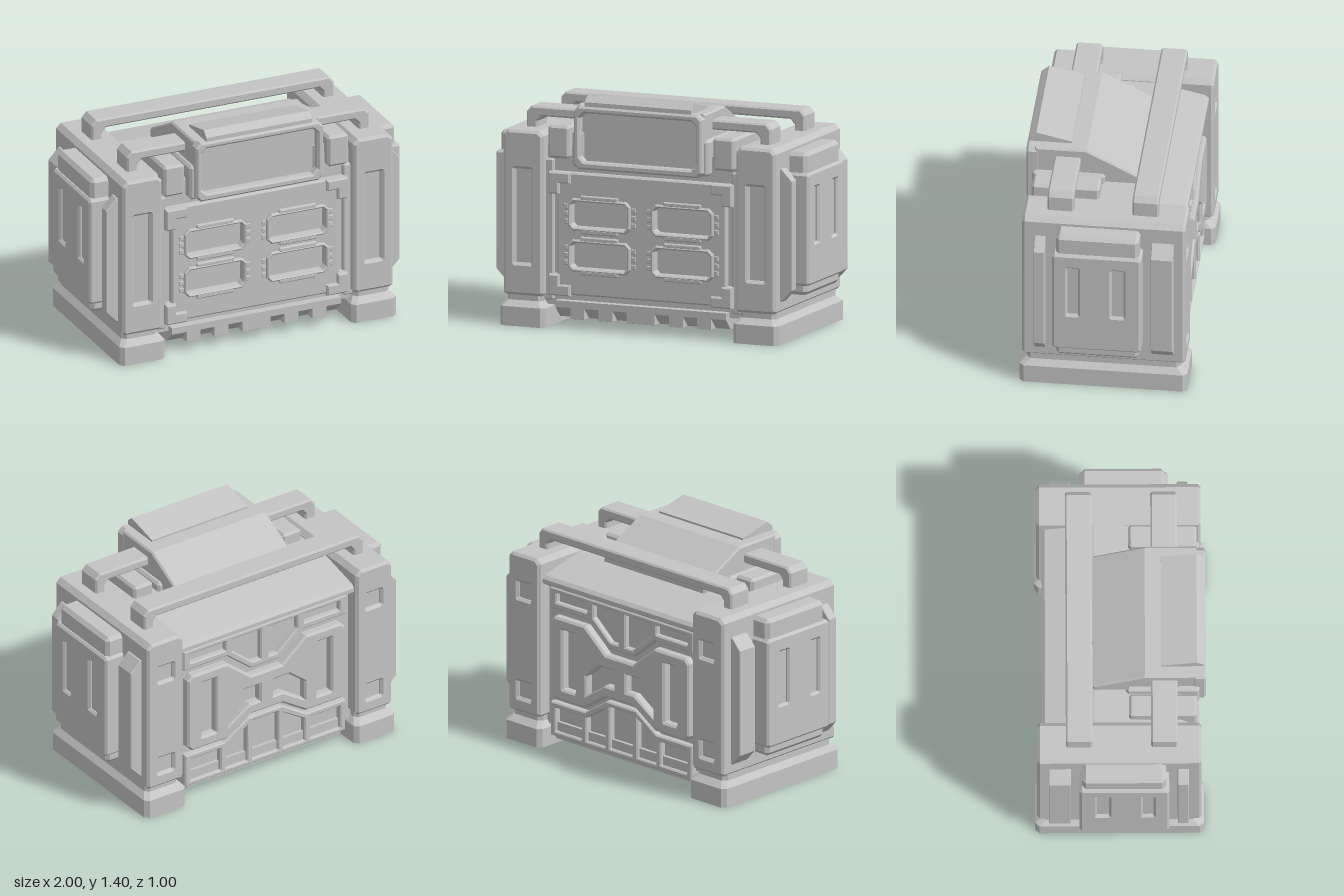
import * as THREE from 'three';
import { ConvexGeometry } from 'three/addons/geometries/ConvexGeometry.js';

export function createModel() {
  const model = new THREE.Group();
  model.name = 'equipmentCrate';
  const metal = new THREE.MeshStandardMaterial({ color: 0xc4c4c4, side: THREE.DoubleSide });
  metal.name = 'plain grey';

  // ---- helpers ----
  function mirrored(geo) {
    const g = geo.index ? geo.toNonIndexed() : geo.clone();
    g.scale(-1, 1, 1);
    const p = g.attributes.position, a = new THREE.Vector3(), b = new THREE.Vector3();
    for (let i = 0; i < p.count; i += 3) {
      a.fromBufferAttribute(p, i + 1);
      b.fromBufferAttribute(p, i + 2);
      p.setXYZ(i + 1, b.x, b.y, b.z);
      p.setXYZ(i + 2, a.x, a.y, a.z);
    }
    g.computeVertexNormals();
    return g;
  }
  function add(name, geo) {
    const mesh = new THREE.Mesh(geo, metal);
    mesh.name = name;
    model.add(mesh);
  }
  function addPair(name, geo) {
    add(name + 'Left', geo);
    add(name + 'Right', mirrored(geo));
  }
  // box with all edges chamfered by c
  function block(x0, x1, y0, y1, z0, z1, c = 0.015) {
    const h = [(x1 - x0) / 2, (y1 - y0) / 2, (z1 - z0) / 2], pts = [];
    for (const sx of [-1, 1]) for (const sy of [-1, 1]) for (const sz of [-1, 1])
      for (let full = 0; full < 3; full++) {
        const [x, y, z] = h.map((v, i) => (i === full ? v : v - c));
        pts.push(new THREE.Vector3(sx * x, sy * y, sz * z));
      }
    return new ConvexGeometry(pts).translate((x0 + x1) / 2, (y0 + y1) / 2, (z0 + z1) / 2);
  }
  // rectangle outline with cut corners
  const rect = (x0, x1, y0, y1, c = 0.01) => [
    [x0 + c, y0], [x1 - c, y0], [x1, y0 + c], [x1, y1 - c],
    [x1 - c, y1], [x0 + c, y1], [x0, y1 - c], [x0, y0 + c]];
  const flipX = pts => pts.map(([x, y]) => [-x, y]).reverse();
  const toVec = pts => pts.map(([x, y]) => new THREE.Vector2(x, y));
  // plate from depth z0 to z1, with chamfered rim and holes
  function panel(outline, holes, z0, z1, bevel = 0.01) {
    const shape = new THREE.Shape(toVec(outline));
    for (const h of holes) shape.holes.push(new THREE.Path(toVec(h)));
    return new THREE.ExtrudeGeometry(shape, {
      depth: z1 - z0 - 2 * bevel, bevelEnabled: bevel > 0, bevelSegments: 1,
      bevelSize: bevel, bevelThickness: bevel, bevelOffset: -bevel,
    }).translate(0, 0, z0 + bevel);
  }
  // side profile given as [z, y], swept along x
  const profile = (pts, x0, x1, bevel = 0) =>
    panel(pts.map(([z, y]) => [-z, y]), [], x0, x1, bevel).rotateY(Math.PI / 2);
  const backPanel = (outline, holes, d0, d1, bevel) =>
    panel(outline, holes, d0, d1, bevel).rotateY(Math.PI);
  // shell through cut-cornered rings [y, x0, x1, z0, z1], open at both ends
  function shell(rings, c) {
    const pos = [], idx = [];
    for (const [y, x0, x1, z0, z1] of rings)
      for (const [x, z] of rect(x0, x1, z0, z1, c)) pos.push(x, y, z);
    for (let r = 0; r < rings.length - 1; r++) for (let i = 0; i < 8; i++) {
      const a = r * 8 + i, b = r * 8 + (i + 1) % 8;
      idx.push(a, a + 8, b, b, a + 8, b + 8);
    }
    let g = new THREE.BufferGeometry();
    g.setAttribute('position', new THREE.Float32BufferAttribute(pos, 3));
    g.setIndex(idx);
    g = g.toNonIndexed();
    g.computeVertexNormals();
    return g;
  }

  // ---- main body ----
  add('body', profile([[0.4, 0.13], [0.4, 1.08], [0.35, 1.13], [-0.15, 1.13], [-0.44, 1.065],
    [-0.46, 1.045], [-0.46, 1.02], [-0.4, 0.985], [-0.4, 0.13]], -0.63, 0.63));
  add('base', profile([[0.45, 0.165], [0.45, 0.125], [0.38, 0.06], [-0.42, 0.06], [-0.42, 0.165]],
    -0.545, 0.545));
  for (const [x0, x1] of [[-0.45, -0.36], [-0.27, -0.18], [-0.09, 0.09], [0.18, 0.27], [0.36, 0.45]])
    add('baseTooth', block(x0, x1, 0.06, 0.13, 0.35, 0.45, 0.001));

  // ---- feet and corner pillars ----
  addPair('foot', shell([[0, 0.6, 0.89, -0.5, 0.49], [0.115, 0.6, 0.89, -0.5, 0.49],
    [0.15, 0.63, 0.86, -0.46, 0.45], [0.19, 0.63, 0.86, -0.46, 0.45]], 0.025));
  const pillar = [[0.63, 0.183], [0.855, 0.183], [0.87, 0.198], [0.87, 1.135], [0.84, 1.165],
    [0.645, 1.165], [0.615, 1.135], [0.615, 0.198]];
  addPair('endFrame', panel(pillar, [], -0.465, 0.445, 0));
  addPair('pillarFront', panel(pillar, [rect(0.695, 0.795, 0.375, 0.935, 0.003)], 0.4, 0.475, 0.016));
  addPair('pillarBack', backPanel(flipX(pillar),
    [rect(-0.79, -0.69, 0.89, 0.99, 0.003), rect(-0.79, -0.69, 0.27, 0.37, 0.003)], 0.41, 0.488, 0.016));

  // ---- side modules ----
  addPair('sideCore', block(0.83, 0.98, 0.27, 1.12, -0.225, 0.265, 0.022));
  addPair('sideInner', block(0.83, 0.975, 0.335, 0.995, -0.235, 0.28, 0.01));
  addPair('sideCover', panel(rect(-0.285, 0.24, 0.33, 1.0, 0.015),
    [rect(-0.193, -0.132, 0.575, 0.905, 0.003), rect(0.067, 0.138, 0.575, 0.905, 0.003)],
    0.86, 1.0, 0.013).rotateY(Math.PI / 2));
  const bar = [[0.85, 0.25], [0.88, 0.25], [0.945, 0.32], [0.945, 0.97], [0.88, 1.04], [0.85, 1.04]];
  addPair('sideBarFront', panel(bar, [], 0.335, 0.4, 0.004));
  addPair('sideBarBack', panel(bar, [], -0.42, -0.29, 0.004));

  // ---- front panel with four recessed ports ----
  const ports = [];
  for (const cx of [-0.265, 0.265]) for (const cy of [0.685, 0.44]) ports.push([cx, cy]);
  add('frontPanel', panel(rect(-0.54, 0.54, 0.2, 0.93, 0.02),
    ports.map(([x, y]) => rect(x - 0.18, x + 0.18, y - 0.075, y + 0.075, 0.02)), 0.385, 0.44));
  for (const [x, y] of ports) {
    add('portFrame', panel(rect(x - 0.2, x + 0.2, y - 0.095, y + 0.095, 0.03),
      [rect(x - 0.18, x + 0.18, y - 0.077, y + 0.077, 0.02)], 0.41, 0.46, 0.008));
    for (const s of [-1, 1]) {
      const ty = y + s * 0.1, tx = x + s * 0.215;
      add('portTab', block(x - 0.12, x + 0.12, ty - 0.014, ty + 0.014, 0.42, 0.458, 0.006));
      for (const dy of [-0.045, 0, 0.045])
        add('portClip', block(tx - 0.015, tx + 0.015, y + dy - 0.015, y + dy + 0.015, 0.42, 0.447, 0.004));
    }
  }
  addPair('upperBracket', panel([[0.45, 0.93], [0.585, 0.93], [0.585, 0.8], [0.52, 0.8],
    [0.52, 0.865], [0.45, 0.865]], [], 0.39, 0.465, 0.008));
  addPair('lowerBracket', panel([[0.45, 0.195], [0.585, 0.195], [0.585, 0.32], [0.52, 0.32],
    [0.52, 0.26], [0.45, 0.26]], [], 0.39, 0.465, 0.008));
  addPair('frontRail', block(0.57, 0.63, 0.16, 1.0, 0.35, 0.425, 0.008));
  addPair('topBlock', block(0.46, 0.595, 1.01, 1.205, 0.05, 0.45, 0.015));

  // ---- display head ----
  addPair('displayCollar', block(0.36, 0.435, 0.97, 1.185, 0.035, 0.465, 0.015));
  add('displayHead', profile([[0.45, 0.98], [0.45, 1.34], [0.145, 1.34], [-0.16, 1.18],
    [-0.16, 1.1], [0.1, 0.98]], -0.408, 0.408, 0.01));
  add('displayFrame', panel(rect(-0.41, 0.41, 0.965, 1.34, 0.03),
    [rect(-0.372, 0.372, 1.01, 1.3, 0.03)], 0.425, 0.502, 0.012));
  add('visor', profile([[0.49, 1.33], [0.49, 1.365], [0.45, 1.4], [0.24, 1.352], [0.24, 1.33]],
    -0.34, 0.34));

  // ---- carrying handles ----
  const arch = [[0.78, 1.1], [0.78, 1.255], [0.75, 1.288]];
  const archInner = [[0.712, 1.1], [0.712, 1.2], [0.685, 1.23]];
  const handle = [...arch, ...flipX(arch), ...archInner.map(([x, y]) => [-x, y]), ...[...archInner].reverse()];
  add('handleFront', panel(handle, [], 0.18, 0.335, 0.01));
  add('handleBack', panel(handle, [], -0.32, -0.165, 0.01));

  // ---- back armour plates ----
  const both = half => [...half, ...flipX(half)];
  const pairOf = (...hs) => hs.flatMap(h => [h, flipX(h)]);
  add('backCentrePlate', backPanel(
    both([[0.11, 0.43], [0.28, 0.32], [0.53, 0.32], [0.56, 0.35], [0.56, 0.8], [0.53, 0.83],
      [0.28, 0.83], [0.11, 0.69]]),
    pairOf(rect(0.36, 0.46, 0.39, 0.76, 0.003), [[0.05, 0.5], [0.12, 0.5], [0.27, 0.4], [0.27, 0.52],
      [0.16, 0.61], [0.05, 0.61]]), 0.39, 0.455, 0.012));
  add('backUpperFrame', backPanel(
    both([[0.1, 0.73], [0.27, 0.87], [0.58, 0.87], [0.58, 1.0]]),
    pairOf([[0.03, 0.77], [0.09, 0.77], [0.23, 0.89], [0.23, 0.97], [0.03, 0.97]],
      rect(0.28, 0.53, 0.91, 0.97, 0.003)), 0.38, 0.435, 0.008));
  add('backLowerFrame', backPanel(
    both([[0.57, 0.08], [0.57, 0.29], [0.29, 0.29], [0.12, 0.4]]),
    [rect(-0.09, 0.09, 0.11, 0.37, 0.003), ...pairOf(rect(0.32, 0.53, 0.11, 0.255, 0.003),
      [[0.13, 0.11], [0.28, 0.11], [0.28, 0.255], [0.13, 0.35]])], 0.38, 0.44, 0.008));

  return model;
}
